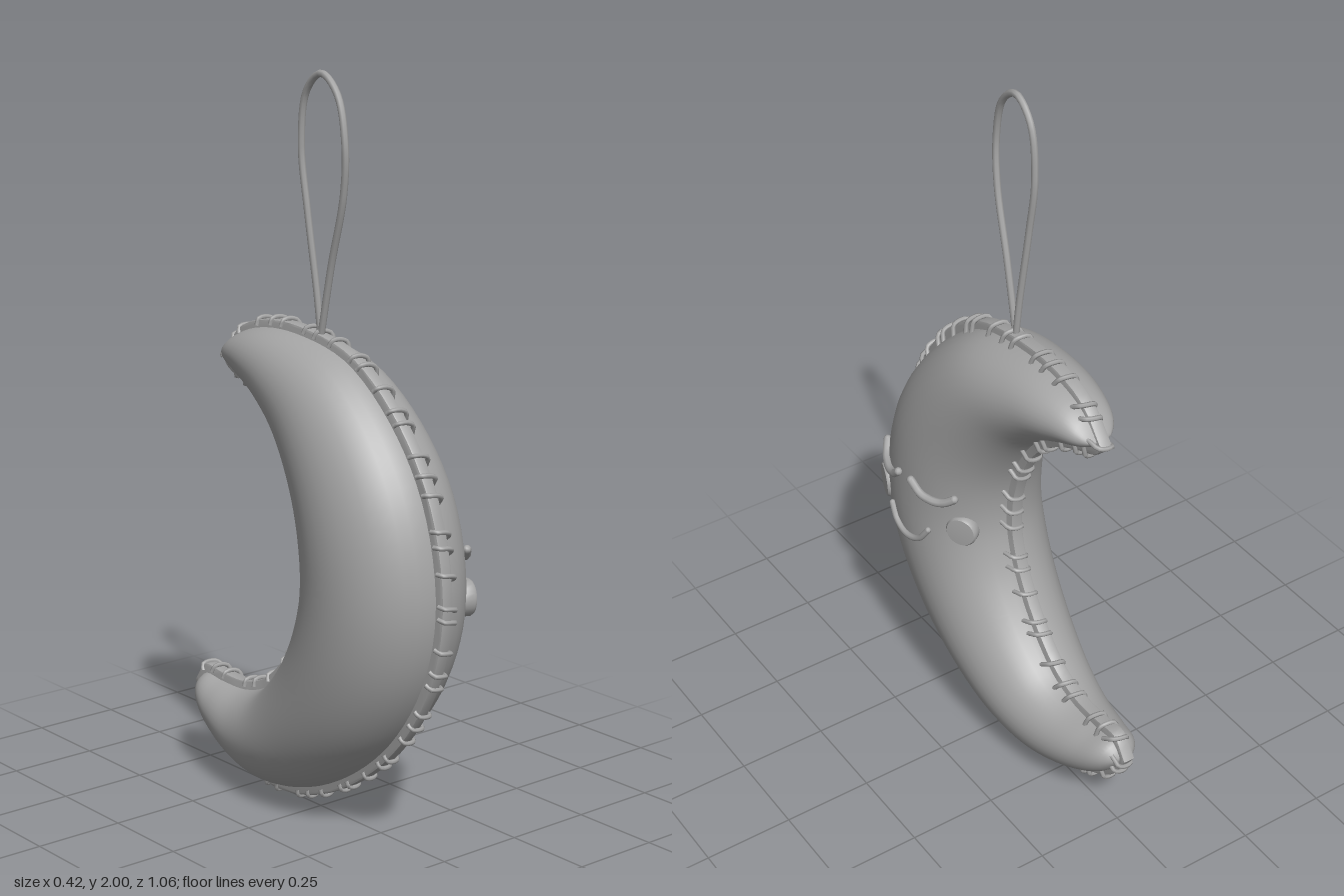
import * as THREE from 'three';
import { toCreasedNormals } from 'three/addons/utils/BufferGeometryUtils.js';

const felt = new THREE.MeshStandardMaterial({ color: 0xa4a4a4 });
felt.name = 'grey felt';

// Crescent stations from top tip to bottom tip: outer z, outer y, inner z, inner y, half thickness
const stations = [
  [-0.385, 1.2, -0.385, 1.2, 0], [-0.30, 1.29, -0.355, 1.165, 0.065],
  [-0.19, 1.325, -0.285, 1.135, 0.1], [-0.03, 1.325, -0.19, 1.085, 0.13],
  [0.17, 1.275, -0.10, 1.005, 0.16], [0.35, 1.13, -0.03, 0.89, 0.185],
  [0.47, 0.94, 0.005, 0.78, 0.2], [0.52, 0.69, 0.01, 0.67, 0.203],
  [0.48, 0.48, -0.015, 0.57, 0.2], [0.36, 0.28, -0.06, 0.48, 0.19],
  [0.19, 0.13, -0.13, 0.385, 0.175], [0, 0.035, -0.21, 0.315, 0.155],
  [-0.17, 0.01, -0.30, 0.285, 0.13], [-0.34, 0.055, -0.40, 0.285, 0.1],
  [-0.46, 0.13, -0.475, 0.29, 0.065], [-0.525, 0.23, -0.525, 0.23, 0],
];
const v = (x, y, z) => new THREE.Vector3(x, y, z);
const outer = new THREE.CatmullRomCurve3(stations.map(s => v(s[4], s[1], s[0])));
const inner = new THREE.CatmullRomCurve3(stations.map(s => v(s[4], s[3], s[2])));

function add(group, name, geometry) {
  const mesh = new THREE.Mesh(geometry, felt);
  mesh.name = name;
  group.add(mesh);
  return mesh;
}

// Stuffed body: elliptical sections lofted between the inner and outer curves
function bodyGeometry() {
  const rows = 72, cols = 36, pos = [], index = [];
  for (let i = 0; i <= rows; i++) {
    const u = 0.02 + 0.96 * i / rows;
    const o = outer.getPoint(u), n = inner.getPoint(u);
    const h = i === 0 || i === rows ? 0 : o.x;
    const dir = v(0, o.y - n.y, o.z - n.z);
    const half = i === 0 || i === rows ? 0 : Math.max(dir.length() / 2 - 0.024, 0.004);
    dir.normalize();
    const my = (o.y + n.y) / 2, mz = (o.z + n.z) / 2;
    for (let j = 0; j < cols; j++) {
      const a = j / cols * Math.PI * 2, c = Math.cos(a) * half;
      pos.push(-0.012 + h * Math.sin(a), my + dir.y * c, mz + dir.z * c);
    }
  }
  for (let i = 0; i < rows; i++) for (let j = 0; j < cols; j++) {
    const k = (j + 1) % cols, a = i * cols + j, b = a + cols, c = i * cols + k, d = c + cols;
    index.push(a, b, c, b, d, c);
  }
  const g = new THREE.BufferGeometry();
  g.setAttribute('position', new THREE.Float32BufferAttribute(pos, 3));
  g.setIndex(index);
  g.computeVertexNormals();
  return g;
}

export function createModel() {
  const model = new THREE.Group();
  model.name = 'moonOrnament';
  const body = add(model, 'stuffedBody', bodyGeometry());
  body.updateMatrixWorld(true);

  // Flat seam flange following the crescent outline
  const outline = [...outer.getPoints(75), ...inner.getPoints(75).reverse().slice(1, -1)];
  const shape = new THREE.Shape(outline.map(p => new THREE.Vector2(-p.z, p.y)));
  const flange = new THREE.ExtrudeGeometry(shape, {
    depth: 0.024, bevelEnabled: true, bevelThickness: 0.006, bevelSize: 0.006, bevelOffset: -0.006, bevelSegments: 2,
  });
  flange.rotateY(Math.PI / 2).translate(-0.028, 0, 0);
  add(model, 'seamFlange', toCreasedNormals(flange, 0.7));

  // Whip stitches wrapped over the seam
  const stitches = new THREE.Group();
  stitches.name = 'stitches';
  model.add(stitches);
  const edge = new THREE.CatmullRomCurve3(outline.map(p => v(0, p.y, p.z)), true);
  const count = 66;
  for (let i = 0; i < count; i++) {
    const u = (i + 0.25 * Math.sin(i * 2.3)) / count;
    const at = (((u % 1) + 1) % 1);
    const p = edge.getPointAt(at), t = edge.getTangentAt(at), into = v(0, -t.z, t.y);
    const place = (x, inward, along) => p.clone().addScaledVector(into, inward).addScaledVector(t, along).setX(x);
    const path = new THREE.CatmullRomCurve3([
      place(-0.036, 0.016, -0.004), place(-0.03, -0.002, 0), place(-0.005, -0.005, 0.004),
      place(0.012, 0.002, 0.01), place(0.016, 0.016, 0.016), place(0.02, 0.034, 0.022),
    ]);
    add(stitches, 'stitch', new THREE.TubeGeometry(path, 10, 0.0065, 6));
  }

  // Hanging loop
  const loop = new THREE.CatmullRomCurve3([
    [-0.018, 1.3, 0.02], [-0.028, 1.5, 0.075], [-0.042, 1.69, 0.14], [-0.05, 1.82, 0.155],
    [-0.045, 1.94, 0.12], [-0.04, 1.99, 0.05], [-0.036, 1.94, -0.015], [-0.032, 1.8, -0.04],
    [-0.028, 1.63, -0.02], [-0.02, 1.42, 0.008], [-0.016, 1.3, 0.02],
  ].map(p => v(...p)));
  add(model, 'hangingLoop', new THREE.TubeGeometry(loop, 80, 0.0095, 8));

  // Face parts are laid on the body surface
  const ray = new THREE.Raycaster();
  const onBody = (z, y) => {
    ray.set(v(1, y, z), v(-1, 0, 0));
    const hit = ray.intersectObject(body)[0];
    return { point: hit.point.clone(), normal: hit.face.normal.clone() };
  };
  function cord(name, pts, radius) {
    const flat = new THREE.CatmullRomCurve3(pts.map(([z, y]) => v(0, y, z)));
    const path = new THREE.CatmullRomCurve3(flat.getPoints(10).map(q => {
      const s = onBody(q.z, q.y);
      return s.point.addScaledVector(s.normal, radius * 0.6);
    }));
    const group = new THREE.Group();
    group.name = name;
    model.add(group);
    add(group, 'cord', new THREE.TubeGeometry(path, 24, radius, 8));
    for (const end of [0, 1]) add(group, 'cordEnd', new THREE.SphereGeometry(radius, 8, 6)).position.copy(path.getPoint(end));
  }
  cord('leftEyelid', [[0.41, 0.79], [0.385, 0.765], [0.345, 0.757], [0.305, 0.765], [0.275, 0.79]], 0.012);
  cord('rightEyelid', [[0.215, 0.8], [0.185, 0.772], [0.15, 0.763], [0.12, 0.768], [0.095, 0.788]], 0.012);
  cord('smile', [[0.325, 0.645], [0.295, 0.607], [0.245, 0.592], [0.195, 0.607], [0.165, 0.65]], 0.009);

  // Round cheeks
  const profile = [[0, -0.025], [0.046, -0.025], [0.05, -0.015], [0.05, 0.008], [0.045, 0.015], [0, 0.018]]
    .map(p => new THREE.Vector2(...p));
  const cheek = toCreasedNormals(new THREE.LatheGeometry(profile, 24), 0.8);
  for (const [name, z, y, size] of [['leftCheek', 0.405, 0.66, 1], ['rightCheek', 0.085, 0.675, 0.9]]) {
    const s = onBody(z, y);
    const mesh = add(model, name, cheek);
    mesh.position.copy(s.point);
    mesh.scale.setScalar(size);
    mesh.quaternion.setFromUnitVectors(v(0, 1, 0), s.normal.add(v(0.6, 0, 0)).normalize());
  }
  return model;
}
